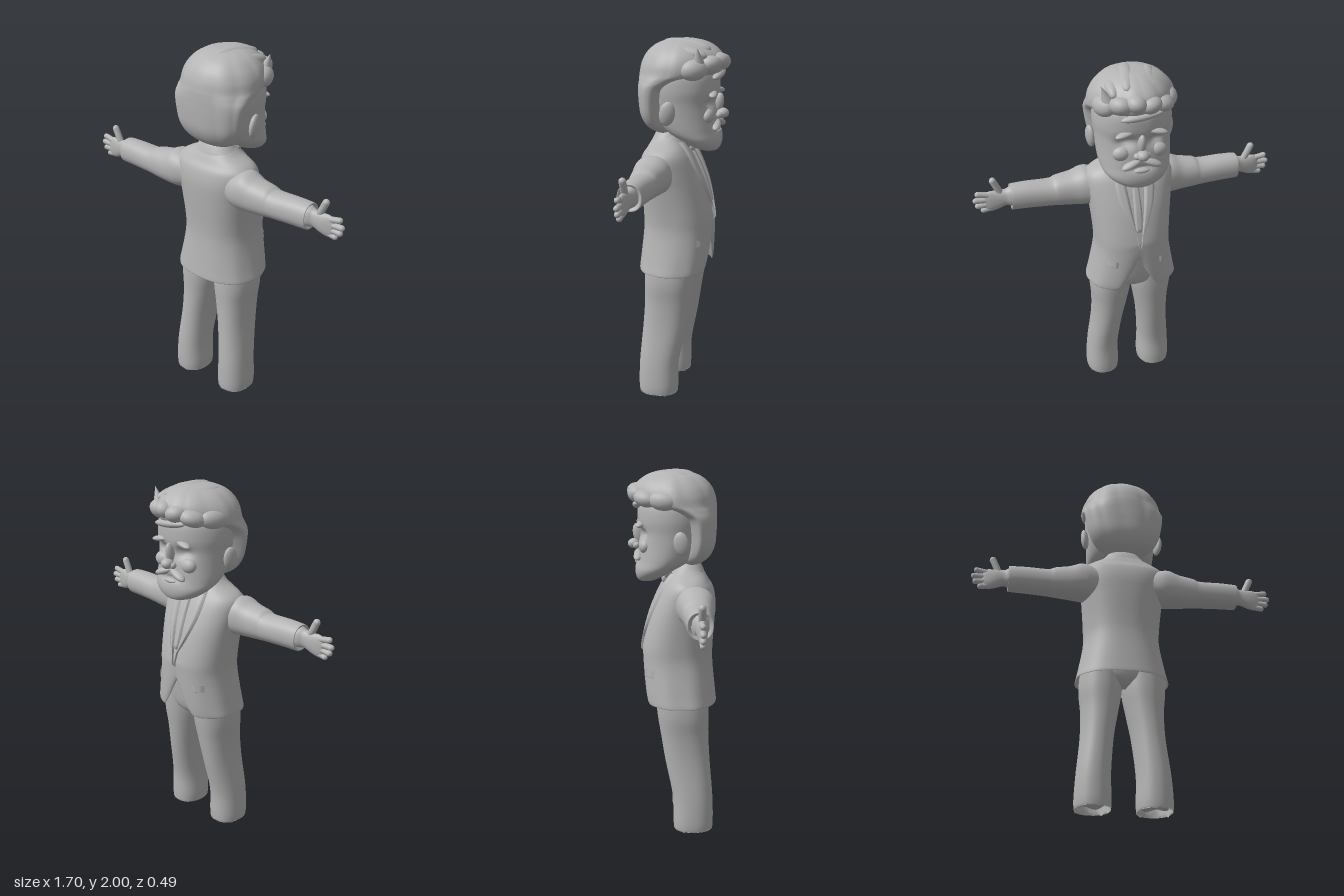
import * as THREE from 'three';

const grey = new THREE.MeshStandardMaterial({ color: 0xb4b4b4, side: THREE.DoubleSide });
grey.name = 'plain grey';

// Smoothly subdivide rings of [height, centre x, half width, back z, front z]
function dense(rings, n = 5) {
  const out = [], last = rings.length - 1;
  const at = i => rings[Math.max(0, Math.min(last, i))];
  for (let i = 0; i < last; i++) for (let k = 0; k < n; k++) {
    const t = k / n;
    out.push(rings[i].map((b, c) => {
      const a = at(i - 1)[c], d = at(i + 1)[c], e = at(i + 2)[c];
      return b + 0.5 * t * (d - a + t * (2 * a - 5 * b + 4 * d - e + t * (3 * (b - d) + e - a)));
    }));
  }
  out.push(rings[last]);
  return out;
}

// Closed-around skin through the rings; pow < 1 is boxier, taper narrows the front
function loft(rings, { pow = 0.9, taper = 0, seg = 40, warp } = {}) {
  const list = dense(rings), pos = [], idx = [];
  const sp = v => Math.sign(v) * Math.abs(v) ** pow;
  list.forEach(([y, cx, rx, zb, zf], i) => {
    for (let j = 0; j < seg; j++) {
      const a = j / seg * Math.PI * 2, s = sp(Math.sin(a)), c = sp(Math.cos(a));
      const v = new THREE.Vector3(cx + rx * s * (1 - taper * Math.max(0, -c)), y, (zb + zf) / 2 + (zb - zf) / 2 * c);
      if (warp) warp(v, a, i / (list.length - 1));
      pos.push(v.x, v.y, v.z);
      if (i) {
        const k = (j + 1) % seg, p = (i - 1) * seg, q = i * seg;
        idx.push(p + j, p + k, q + k, p + j, q + k, q + j);
      }
    }
  });
  return finish(pos, idx);
}

function finish(pos, idx) {
  const g = new THREE.BufferGeometry();
  g.setAttribute('position', new THREE.Float32BufferAttribute(pos, 3));
  g.setIndex(idx);
  g.computeVertexNormals();
  return g;
}

// Copy reflected to the other side of the body
function mirror(geo) {
  const p = Array.from(geo.attributes.position.array, (v, i) => i % 3 ? v : -v), d = geo.index.array, idx = [];
  for (let i = 0; i < d.length; i += 3) idx.push(d[i], d[i + 2], d[i + 1]);
  return finish(p, idx);
}

function blob(x, y, z, sx, sy, sz, rx = 0, rz = 0, ry = 0) {
  const g = new THREE.SphereGeometry(1, 20, 14);
  g.scale(sx, sy, sz).rotateX(rx).rotateZ(rz).rotateY(ry);
  return g.translate(x, y, z);
}

function finger(a, b, r) {
  const p = new THREE.Vector3(...a), q = new THREE.Vector3(...b), d = q.clone().sub(p);
  const g = new THREE.CapsuleGeometry(r, d.length(), 6, 12);
  g.applyQuaternion(new THREE.Quaternion().setFromUnitVectors(new THREE.Vector3(0, 1, 0), d.normalize()));
  return g.translate(...p.add(q).multiplyScalar(0.5).toArray());
}

const JACKET = [
  [0.8, 0, 0.21, 0.2, -0.11], [0.745, 0, 0.24, 0.235, -0.135], [0.73, 0, 0.255, 0.247, -0.147],
  [0.8, 0, 0.24, 0.24, -0.157], [0.95, 0, 0.212, 0.225, -0.163], [1.05, 0, 0.212, 0.225, -0.16],
  [1.2, 0, 0.226, 0.235, -0.125], [1.3, 0, 0.24, 0.238, -0.088], [1.37, 0, 0.243, 0.225, -0.055],
  [1.41, 0, 0.215, 0.2, -0.03], [1.45, 0, 0.14, 0.178, -0.005], [1.49, 0, 0.095, 0.15, 0.015],
];

// Depth of the jacket chest at a given x and y
const chest = dense(JACKET.slice(2));
function chestZ(x, y) {
  const i = Math.max(1, chest.findIndex(r => r[0] >= y)), a = chest[i - 1], b = chest[i];
  const [, , rx, zb, zf] = a.map((v, c) => THREE.MathUtils.lerp(v, b[c], (y - a[0]) / (b[0] - a[0])));
  const s = Math.min(1, Math.abs(x) / rx) ** (1 / 0.85);
  return (zb + zf) / 2 - (zb - zf) / 2 * Math.sqrt(1 - s * s) ** 0.85;
}

// Raised cloth strip lying on the chest, between two edges x0(t) and x1(t)
function cloth(yTop, yEnd, x0, x1, lift) {
  const pos = [], idx = [], n = 20, m = 6;
  for (let i = 0; i <= n; i++) for (let j = 0; j <= m; j++) {
    const t = i / n, u = j / m, y = THREE.MathUtils.lerp(yTop, yEnd, t), x = THREE.MathUtils.lerp(x0(t), x1(t), u);
    const rim = j === 0 || j === m || i === n ? -0.004 : lift;
    pos.push(x, y, chestZ(x, y) - rim);
    if (i && j) {
      const q = i * (m + 1) + j, p = q - m - 1;
      idx.push(p - 1, p, q, p - 1, q, q - 1);
    }
  }
  return finish(pos, idx);
}

export function createModel() {
  const model = new THREE.Group();
  const add = (name, geo, both) => {
    for (const g of both ? [geo, mirror(geo)] : [geo]) {
      const m = new THREE.Mesh(g, grey);
      m.name = name;
      model.add(m);
    }
  };

  // Trouser legs with ragged ends
  const ragged = (v, a, t) => {
    if (t < 0.01) v.y += 0.022 + 0.022 * Math.sin(a * 7) * Math.cos(a * 4 + 1);
  };
  add('trouserLeg', loft([
    [0, 0.16, 0.092, 0.224, 0.008], [0.06, 0.16, 0.096, 0.228, 0.004], [0.2, 0.157, 0.09, 0.224, 0],
    [0.4, 0.138, 0.088, 0.208, -0.04], [0.55, 0.124, 0.1, 0.2, -0.065], [0.68, 0.118, 0.116, 0.2, -0.085],
    [0.85, 0.11, 0.11, 0.19, -0.1],
  ], { warp: ragged }), true);
  add('trouserInside', loft([[0.07, 0.16, 0.001, 0.117, 0.115], [0.05, 0.16, 0.05, 0.17, 0.06], [0.045, 0.16, 0.09, 0.22, 0.01]],
    { warp: (v, a) => { v.y += 0.008 * Math.sin(a * 5); } }), true);
  add('hips', loft([[0.67, 0, 0.03, 0.12, 0.0], [0.72, 0, 0.16, 0.19, -0.085], [0.85, 0, 0.2, 0.2, -0.115], [1.02, 0, 0.19, 0.2, -0.13]]));

  // Jacket, hem cut away at the front and lightly creased at the skirt
  add('jacket', loft(JACKET, {
    pow: 0.85, seg: 64, warp: (v, a) => {
      const low = THREE.MathUtils.clamp((1.05 - v.y) / 0.32, 0, 1);
      if (v.z < 0) v.y += 0.2 * low * Math.max(0, 1 - Math.abs(v.x) / 0.12) ** 1.3;
      const crease = 1 + 0.012 * low * Math.sin(a * 9);
      v.x *= crease;
    },
  }));
  add('lapel', cloth(1.45, 1.0, t => 0.055 * (1 - t) + 0.004, t => 0.06 * (1 - t) + 0.006 + 0.07 * Math.sin(Math.PI * Math.min(1, t * 1.15 + 0.1)) ** 0.7 * (1 - t * 0.5), 0.013), true);
  add('tie', cloth(1.42, 1.1, t => -0.016 - 0.016 * t * (1 - t ** 4), t => 0.016 + 0.016 * t * (1 - t ** 4), 0.012));
  add('tieKnot', blob(0, 1.415, -0.04, 0.027, 0.03, 0.02));
  add('shirtCollar', blob(0.05, 1.44, -0.022, 0.035, 0.016, 0.025, 0, -0.7 + Math.PI / 2, 0.3), true);
  add('pocketFlap', cloth(0.925, 0.885, () => 0.115, () => 0.175, 0.008), true);
  add('jacketCollar', loft([[1.43, 0, 0.15, 0.185, 0.01], [1.47, 0, 0.115, 0.17, 0.01], [1.505, 0, 0.085, 0.15, 0.02], [1.49, 0, 0.07, 0.135, 0.03]]));
  add('neck', loft([[1.4, 0, 0.085, 0.14, -0.01], [1.48, 0, 0.08, 0.14, -0.01], [1.57, 0, 0.09, 0.15, -0.02]]));

  // Sleeves, lofted upright and laid out sideways
  add('sleeve', loft([
    [0.12, -1.29, 0.085, 0.2, 0.02], [0.2, -1.293, 0.103, 0.222, 0.012], [0.25, -1.295, 0.106, 0.224, 0.02], [0.31, -1.285, 0.093, 0.217, 0.035],
    [0.39, -1.281, 0.083, 0.207, 0.045], [0.43, -1.276, 0.074, 0.202, 0.05], [0.55, -1.28, 0.073, 0.196, 0.056],
    [0.635, -1.28, 0.071, 0.191, 0.06], [0.646, -1.28, 0.066, 0.186, 0.065], [0.635, -1.28, 0.05, 0.17, 0.08],
  ]).rotateZ(-Math.PI / 2), true);

  // Hands
  add('palm', loft([
    [0.6, -1.28, 0.05, 0.165, 0.085], [0.64, -1.283, 0.056, 0.17, 0.085], [0.672, -1.28, 0.047, 0.16, 0.098], [0.72, -1.27, 0.056, 0.157, 0.104],
    [0.76, -1.266, 0.06, 0.15, 0.11], [0.785, -1.266, 0.045, 0.142, 0.118], [0.79, -1.266, 0.001, 0.131, 0.129],
  ]).rotateZ(-Math.PI / 2), true);
  [[0.75, 1.302, 0.82, 1.316, 0.016], [0.76, 1.277, 0.834, 1.279, 0.016], [0.76, 1.25, 0.824, 1.246, 0.016], [0.75, 1.225, 0.797, 1.217, 0.015], [0.69, 1.29, 0.735, 1.387, 0.019]]
    .forEach(([x, y, x2, y2, r], i) => add(i < 4 ? 'finger' : 'thumb', finger([x, y, 0.13], [x2, y2, 0.13], r), true));

  // Head with bearded jaw and sunken eye sockets
  const dip = (v, x, y, w, h) => Math.exp(-(((Math.abs(v.x) - x) / w) ** 2) - ((v.y - y) / h) ** 2);
  add('head', loft([
    [1.4, 0, 0.001, -0.139, -0.141], [1.405, 0, 0.06, -0.1, -0.18], [1.43, 0, 0.125, -0.05, -0.197], [1.47, 0, 0.172, 0.02, -0.202],
    [1.52, 0, 0.192, 0.1, -0.193], [1.6, 0, 0.2, 0.15, -0.183], [1.67, 0, 0.204, 0.17, -0.18], [1.74, 0, 0.21, 0.18, -0.187],
    [1.82, 0, 0.2, 0.18, -0.18], [1.9, 0, 0.16, 0.14, -0.13],
  ], {
    pow: 0.85, taper: 0.12, seg: 72, warp: v => {
      if (v.z < -0.05) v.z += 0.035 * dip(v, 0.075, 1.665, 0.045, 0.03) + 0.022 * dip(v, 0, 1.523, 0.06, 0.012);
    },
  }));
  add('brow', blob(0.08, 1.718, -0.168, 0.06, 0.016, 0.025, 0, -0.15, 0.25), true);
  add('cheek', blob(0.095, 1.6, -0.145, 0.05, 0.04, 0.035), true);
  add('noseBridge', blob(0, 1.655, -0.182, 0.022, 0.06, 0.03, -0.25));
  add('noseTip', blob(0, 1.605, -0.207, 0.033, 0.028, 0.035));
  add('nostril', blob(0.028, 1.597, -0.193, 0.018, 0.018, 0.02), true);
  add('moustache', blob(0.05, 1.55, -0.18, 0.062, 0.02, 0.028, 0, -0.35, 0.2), true);
  add('lowerLip', blob(0, 1.508, -0.183, 0.045, 0.014, 0.02));
  add('ear', blob(0.215, 1.625, 0.045, 0.022, 0.065, 0.042, -0.15, -0.1, 0.2), true);

  // Hair cap with combed ridges
  add('hair', loft([
    [1.49, 0, 0.06, 0.13, 0.06], [1.505, 0, 0.11, 0.165, 0.04], [1.54, 0, 0.165, 0.205, 0.04], [1.6, 0, 0.2, 0.232, 0.045],
    [1.68, 0, 0.218, 0.24, 0.04], [1.75, 0, 0.228, 0.242, 0.01], [1.79, 0, 0.23, 0.242, -0.09], [1.82, 0, 0.23, 0.24, -0.19],
    [1.87, 0, 0.222, 0.23, -0.212], [1.92, 0, 0.195, 0.205, -0.2], [1.965, 0, 0.145, 0.155, -0.15], [1.99, 0, 0.075, 0.085, -0.085], [1.995, 0, 0.001, 0.001, -0.001],
  ], {
    pow: 0.92, taper: 0.25, seg: 96, warp: (v, a, t) => {
      const f = 1 + 0.022 * (Math.abs(Math.sin(a * 5.5 + v.y * 4)) - 0.5) * Math.min(1, t * 2);
      v.x *= f; v.z *= f;
    },
  }));

  // Swept locks over the brow and crown: position, size, tilt x, tilt z, turn y
  [
    [-0.12, 1.855, -0.135, 0.06, 0.045, 0.075, 0.2, 0.2, -0.5], [-0.045, 1.87, -0.178, 0.06, 0.046, 0.062, 0.15, -0.2, -0.2],
    [0.03, 1.885, -0.185, 0.055, 0.045, 0.06, 0.1, 0.3, 0.1], [0.1, 1.87, -0.155, 0.06, 0.048, 0.065, 0.2, 0.4, 0.4],
    [0.17, 1.85, -0.085, 0.05, 0.055, 0.075, 0.1, 0.2, 0.4], [-0.18, 1.845, -0.05, 0.045, 0.05, 0.08, 0.1, -0.2, -0.3],
    [0, 1.815, -0.185, 0.11, 0.022, 0.03, 0, -0.12, 0],
    [-0.06, 1.95, -0.04, 0.05, 0.04, 0.13, -0.12, 0, -0.3], [0.04, 1.962, -0.02, 0.045, 0.037, 0.14, -0.1, 0, -0.2], [0.12, 1.93, -0.02, 0.04, 0.04, 0.13, -0.1, 0, -0.1],
  ].forEach(l => add('hairLock', blob(...l)));
  add('hairTuft', new THREE.ConeGeometry(0.04, 0.11, 12, 4).rotateZ(-0.35).translate(0.172, 1.915, -0.11));
  return model;
}
